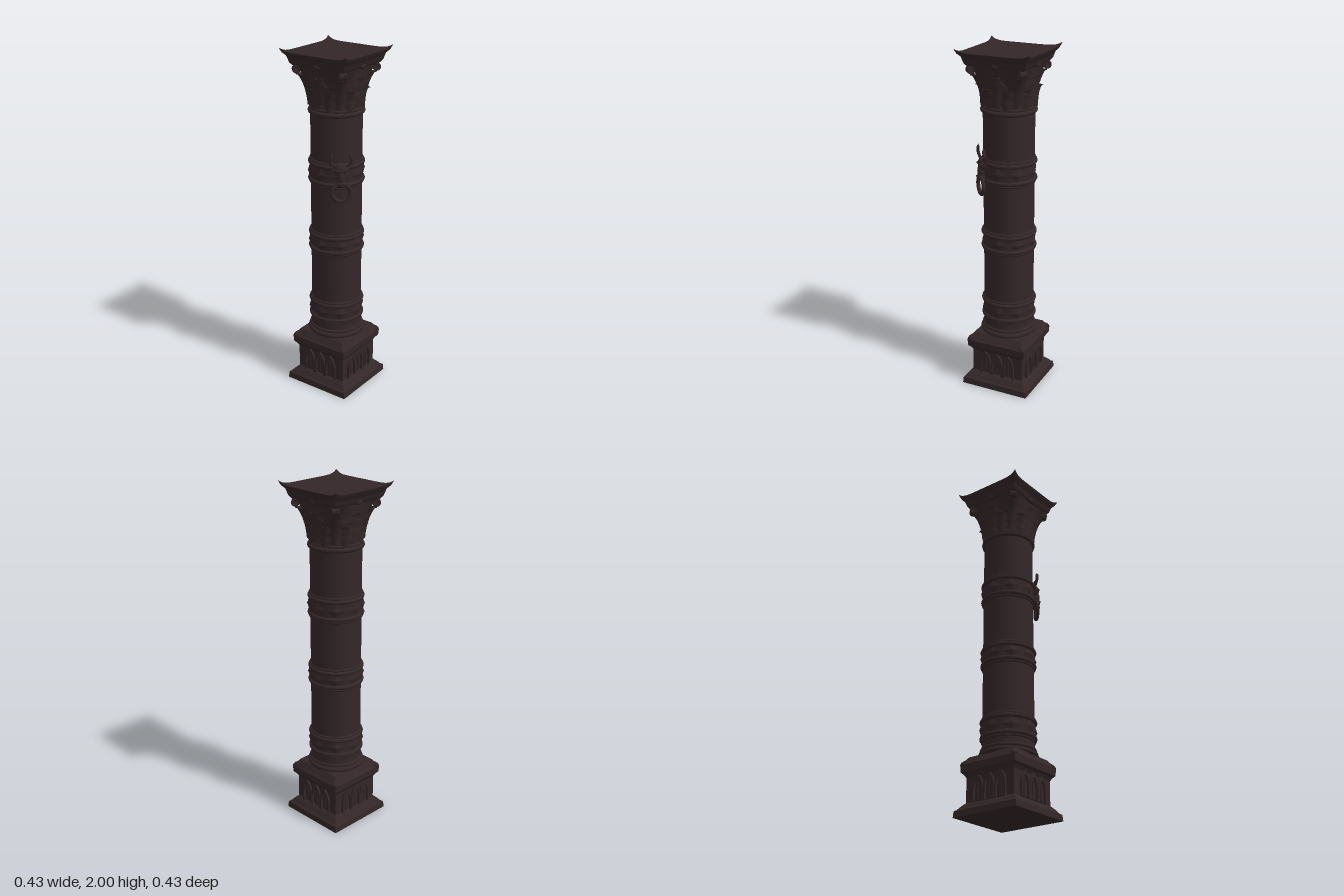
import * as THREE from 'three';

const stone = new THREE.MeshStandardMaterial({ color: 0x33272a, side: THREE.DoubleSide });
stone.name = 'dark brown stone';
stone.color.set(0x332628);

function add(parent, name, geo, x = 0, y = 0, z = 0) {
  const mesh = new THREE.Mesh(geo, stone);
  mesh.name = name;
  mesh.position.set(x, y, z);
  parent.add(mesh);
  return mesh;
}

// Move every vertex by a rule, then rebuild normals
function reshape(geo, rule) {
  const p = geo.attributes.position, v = new THREE.Vector3();
  for (let i = 0; i < p.count; i++) {
    rule(v.fromBufferAttribute(p, i));
    p.setXYZ(i, v.x, v.y, v.z);
  }
  geo.computeVertexNormals();
  return geo;
}

const lathe = (pts, seg = 64) => new THREE.LatheGeometry(pts.map(([r, y]) => new THREE.Vector2(r, y)), seg);

// Horizontal ring moulding
function moulding(parent, y, r, tube) {
  const m = add(parent, 'ringMoulding', new THREE.TorusGeometry(r - tube, tube, 10, 64), 0, y, 0);
  m.rotation.x = Math.PI / 2;
}

// Capital bell: round at the bottom, squarer toward the top
function bell(a, y) {
  const t = THREE.MathUtils.clamp((y - 1.66) / 0.26, 0, 1);
  const r = 0.141 + 0.024 * t * t;
  return r * (1 + 0.34 * t * t * Math.pow(Math.abs(Math.sin(2 * a)), 3));
}

// Ribbed, lobed leaf that hugs the bell and curls out at its tip
function leafGeometry(angle, y0, y1, width, curl) {
  return reshape(new THREE.PlaneGeometry(2, 1, 8, 16), v => {
    const u = v.x, t = v.y + 0.5;
    const w = width * Math.sin(Math.PI * (0.2 + 0.76 * t)) * (1 + 0.18 * Math.cos(t * 22));
    const a = angle + u * w / 0.15;
    const y = y0 + (y1 - y0) * (t - 0.22 * Math.pow(t, 8));
    const r = bell(a, y) + 0.012 * (1 - u * u) - 0.002 + 0.005 * Math.exp(-u * u * 30) + curl * Math.pow(t, 4);
    v.set(Math.sin(a) * r, y, Math.cos(a) * r);
  });
}

// Pointed arch outline
function lancet(shape, w, h) {
  const s = h * 0.45;
  shape.moveTo(-w, 0);
  shape.lineTo(w, 0);
  shape.lineTo(w, s);
  shape.quadraticCurveTo(w, h * 0.8, 0, h);
  shape.quadraticCurveTo(-w, h * 0.8, -w, s);
  shape.lineTo(-w, 0);
  return shape;
}

function buildPedestal() {
  const g = new THREE.Group();
  g.name = 'pedestal';
  const profile = [[0, 0], [0.206, 0], [0.203, 0.035], [0.192, 0.042], [0.176, 0.062], [0.158, 0.08],
    [0.158, 0.215], [0.168, 0.232], [0.18, 0.245], [0.183, 0.285], [0.174, 0.295], [0.15, 0.33], [0, 0.33]];
  const body = new THREE.LatheGeometry(
    profile.map(([h, y]) => new THREE.Vector2(h * Math.SQRT2, y)), 4, Math.PI / 4).toNonIndexed();
  body.computeVertexNormals();
  add(g, 'pedestalBody', body);

  const frame = lancet(new THREE.Shape(), 0.036, 0.145);
  const hole = lancet(new THREE.Path(), 0.025, 0.125);
  frame.holes.push(hole);
  const arch = new THREE.ExtrudeGeometry(frame, { depth: 0.014, bevelEnabled: false, curveSegments: 8 });
  for (let i = 0; i < 4; i++) {
    const side = new THREE.Group();
    side.name = 'pedestalSide';
    side.rotation.y = i * Math.PI / 2;
    g.add(side);
    for (const x of [-0.074, 0, 0.074]) {
      add(side, 'pointedArch', arch, x, 0.076, 0.157);
      add(side, 'archMullion', new THREE.BoxGeometry(0.006, 0.1, 0.012), x, 0.13, 0.157);
    }
    // Leaf bump on each cornice corner
    const corner = add(side, 'cornerLeaf', new THREE.SphereGeometry(1, 12, 8), 0.16, 0.298, 0.16);
    corner.scale.set(0.02, 0.014, 0.034);
    corner.rotation.set(0.4, Math.PI / 4, 0, 'YXZ');
  }
  return g;
}

// Band of four-pointed stars between two ring mouldings
function buildBand(y0, y1) {
  const g = new THREE.Group();
  g.name = 'starBand';
  const h = y1 - y0, step = Math.PI / 4;
  const geo = reshape(new THREE.CylinderGeometry(0.147, 0.147, h, 128, 12, true), v => {
    const a = Math.atan2(v.x, v.z);
    const s = Math.abs((a / step + 8.5) % 1 - 0.5) * 2, t = Math.abs(v.y) / (h / 2);
    const k = 1 + 0.09 * Math.max(0, 1 - Math.pow(s, 0.75) - Math.pow(t, 0.75));
    v.x *= k;
    v.z *= k;
  });
  add(g, 'starRelief', geo, 0, (y0 + y1) / 2, 0);
  for (const [y, out] of [[y0, -1], [y1, 1]]) {
    moulding(g, y, 0.158, 0.013);
    moulding(g, y + out * 0.017, 0.15, 0.008);
  }
  return g;
}

function buildCapital() {
  const g = new THREE.Group();
  g.name = 'capital';
  const pts = Array.from({ length: 13 }, (_, i) => [0.14, 1.66 + i * 0.0215]);
  add(g, 'capitalBell', reshape(lathe(pts, 96), v => {
    const a = Math.atan2(v.x, v.z), r = bell(a, v.y);
    v.set(Math.sin(a) * r, v.y, Math.cos(a) * r);
  }));
  moulding(g, 1.658, 0.157, 0.014);
  moulding(g, 1.678, 0.149, 0.008);
  for (let i = 0; i < 8; i++) {
    const a = i * Math.PI / 4;
    add(g, 'lowerLeaf', leafGeometry(a + Math.PI / 8, 1.675, 1.82, 0.05, 0.02));
    add(g, 'upperLeaf', leafGeometry(a, 1.69, 1.9, 0.055, 0.02));
  }
  for (let i = 0; i < 4; i++) {
    // Scroll under each corner, rosette on each face
    const corner = new THREE.Group();
    corner.name = 'cornerScroll';
    corner.rotation.y = Math.PI / 4 + i * Math.PI / 2;
    g.add(corner);
    const eye = add(corner, 'scrollEye', new THREE.CylinderGeometry(0.02, 0.02, 0.034, 16), 0, 1.885, 0.215);
    eye.rotation.z = Math.PI / 2;
    for (const x of [-0.014, 0.014]) {
      const roll = add(corner, 'scrollRoll', new THREE.TorusGeometry(0.016, 0.007, 8, 20), x, 1.885, 0.215);
      roll.rotation.y = Math.PI / 2;
    }
    const face = new THREE.Group();
    face.name = 'faceRosette';
    face.rotation.y = i * Math.PI / 2;
    g.add(face);
    add(face, 'rosette', new THREE.SphereGeometry(0.018, 14, 10), 0, 1.915, 0.168).scale.set(1.5, 1, 0.8);
  }
  // Moulded square slab with upturned corner horns
  const half = [0.166, 0.176, 0.18, 0.184, 0.198, 0.207], levels = [1.905, 1.915, 1.93, 1.945, 1.957, 1.978];
  add(g, 'abacus', reshape(new THREE.BoxGeometry(2, 5, 2, 32, 5, 32), v => {
    const row = Math.round(v.y + 2.5), c = Math.pow(Math.abs(v.x * v.z), 9) * row / 5;
    const s = half[row] + 0.009 * c;
    v.set(v.x * s, levels[row] + 0.022 * c, v.z * s);
  }));
  return g;
}

// Horned beast head holding a ring
function buildKnocker() {
  const g = new THREE.Group();
  g.name = 'beastHeadKnocker';
  g.rotation.y = Math.PI / 4;
  const blob = (name, x, y, z, sx, sy, sz) =>
    add(g, name, new THREE.SphereGeometry(1, 18, 12), x, y, z).scale.set(sx, sy, sz);
  blob('skull', 0, 1.36, 0.15, 0.036, 0.042, 0.03);
  blob('snout', 0, 1.32, 0.157, 0.023, 0.05, 0.027);
  blob('muzzle', 0, 1.285, 0.163, 0.027, 0.02, 0.024);
  for (const s of [-1, 1]) {
    blob('brow', s * 0.021, 1.362, 0.17, 0.014, 0.008, 0.012);
    blob('nostril', s * 0.013, 1.288, 0.182, 0.007, 0.006, 0.006);
    const ear = add(g, 'ear', new THREE.ConeGeometry(0.011, 0.04, 8), s * 0.046, 1.358, 0.152);
    ear.rotation.z = -s * 1.9;
    const path = new THREE.CatmullRomCurve3([[0.02, 1.385, 0.152], [0.046, 1.39, 0.155], [0.058, 1.412, 0.16],
      [0.05, 1.445, 0.163]].map(([x, y, z]) => new THREE.Vector3(s * x, y, z)));
    add(g, 'horn', new THREE.TubeGeometry(path, 14, 0.009, 8));
    add(g, 'hornTip', new THREE.ConeGeometry(0.009, 0.02, 8), s * 0.048, 1.453, 0.163).rotation.z = s * 0.25;
  }
  add(g, 'ring', new THREE.TorusGeometry(0.05, 0.011, 10, 36), 0, 1.236, 0.165);
  return g;
}

export function createModel() {
  const model = new THREE.Group();
  model.name = 'column';
  model.add(buildPedestal());

  // Round shaft with its moulded foot
  add(model, 'shaft', lathe([[0.15, 0.325], [0.148, 0.37], [0.143, 0.4], [0.143, 1.67]]));
  moulding(model, 0.342, 0.164, 0.016);
  moulding(model, 0.368, 0.155, 0.01);
  for (const [y0, y1] of [[0.437, 0.53], [0.865, 0.95], [1.27, 1.37]]) model.add(buildBand(y0, y1));

  model.add(buildCapital());
  model.add(buildKnocker());
  return model;
}
